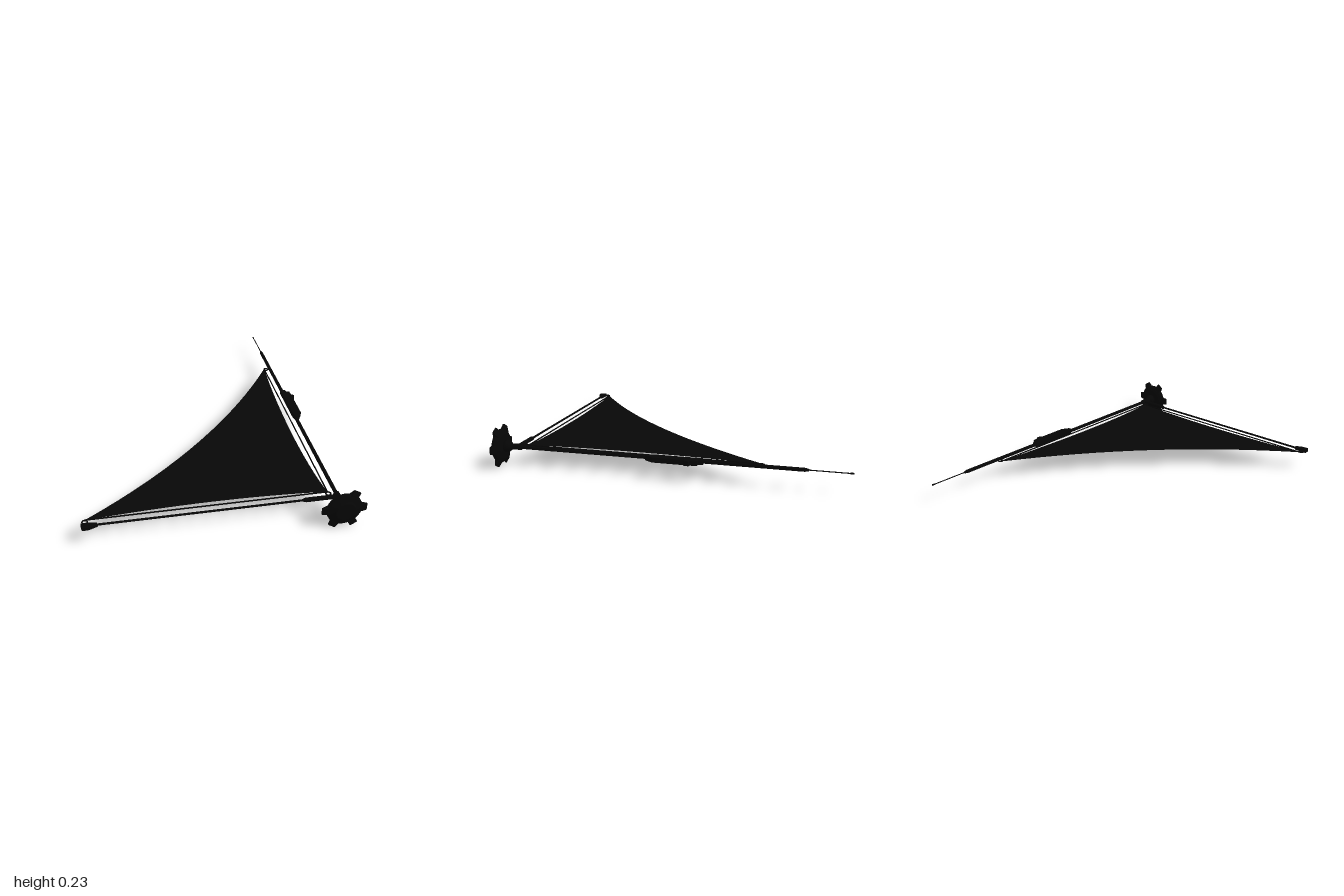
import * as THREE from 'three';

const Y = 0.12;      // height of the rig's plane
const MAST_X = 0.615;
const YARD_Z = 0.866;

export function createModel() {
  const model = new THREE.Group();
  const black = new THREE.MeshStandardMaterial({ color: 0x060606 });
  black.name = 'black';
  const sailBlack = new THREE.MeshStandardMaterial({ color: 0x070707, side: THREE.DoubleSide });
  sailBlack.name = 'sail black';

  const add = (name, geometry, material = black, parent = model) => {
    const mesh = new THREE.Mesh(geometry, material);
    mesh.name = name;
    parent.add(mesh);
    return mesh;
  };
  // Turned part: [radius, distance] pairs, spun about z or x
  const turned = (name, points, axis, sides = 16) => {
    const g = new THREE.LatheGeometry(points.map(p => new THREE.Vector2(p[0], p[1])), sides);
    if (axis === 'z') g.rotateX(Math.PI / 2).translate(MAST_X, Y, 0);
    else g.rotateZ(-Math.PI / 2).translate(0, Y, YARD_Z);
    return add(name, g);
  };
  // Flat outline in x and z, thickened along y about its middle
  const plate = (points, height, bevel) => {
    const shape = new THREE.Shape(points.map(p => new THREE.Vector2(p[0], p[1])));
    const depth = height - 2 * bevel;
    return new THREE.ExtrudeGeometry(shape, {
      depth, bevelEnabled: bevel > 0, bevelSize: bevel, bevelOffset: -bevel,
      bevelThickness: bevel, bevelSegments: 2,
    }).translate(0, 0, -depth / 2).rotateX(Math.PI / 2);
  };

  // Mast with its fine tip
  turned('mast', [[0, -0.775], [0.006, -0.772], [0.0105, -0.75], [0.0105, 0.9], [0, 0.9]], 'z');
  turned('mastTip', [[0, -1], [0.005, -0.998], [0.005, -0.982], [0.003, -0.978], [0.003, -0.77]], 'z', 8);
  turned('mastCollar', [[0.0105, 0.835], [0.017, 0.842], [0.017, 0.9], [0.024, 0.905],
    [0.034, 0.925], [0.034, 0.945], [0, 0.945]], 'z', 20);

  // Hand wheel at the foot of the mast
  turned('wheelHub', [[0, 0.94], [0.06, 0.941], [0.085, 0.952], [0.096, 0.962], [0.096, 0.974],
    [0.085, 0.984], [0.062, 0.988], [0.056, 0.998], [0.05, 1], [0, 1]], 'z', 32);
  const prongs = new THREE.Group();
  prongs.name = 'wheelProngs';
  prongs.position.set(MAST_X, Y, 0);
  model.add(prongs);
  const prongShape = plate([[0.06, 0.945], [0.095, 0.955], [0.122, 0.967], [0.122, 0.975],
    [0.095, 0.981], [0.06, 0.981]], 0.044, 0.003);
  for (let i = 0; i < 6; i++) {
    add('wheelProng', prongShape, black, prongs).rotation.z = i * Math.PI / 3;
  }

  // Motor housing on the side of the mast
  add('motorHousing', plate([[0.602, -0.215], [0.632, -0.215], [0.638, -0.19], [0.655, -0.19],
    [0.657, -0.15], [0.672, -0.145], [0.667, -0.118], [0.657, -0.112], [0.657, 0.06],
    [0.632, 0.105], [0.612, 0.108], [0.602, 0.07]], 0.032, 0.005).translate(0, Y, 0));

  // Yard with socket and end cap
  turned('yard', [[0, -0.7], [0.006, -0.7], [0.006, 0.5], [0, 0.5]], 'x', 12);
  turned('yardSocket', [[0, 0.425], [0.009, 0.427], [0.0125, 0.44], [0.0125, 0.612], [0, 0.612]], 'x');
  add('yardEndCap', plate([[-0.741, 0.852], [-0.7, 0.852], [-0.66, 0.858], [-0.655, 0.872],
    [-0.675, 0.88], [-0.7, 0.891], [-0.735, 0.893], [-0.741, 0.88]], 0.022, 0.004).translate(0, Y, 0));

  // Sail with hollow edges
  const sail = new THREE.Shape();
  sail.moveTo(-0.72, 0.822);
  sail.quadraticCurveTo(-0.02, 0.764, 0.573, 0.82);
  sail.bezierCurveTo(0.53, 0.55, 0.53, 0.0, 0.577, -0.53);
  sail.quadraticCurveTo(0.06, 0.31, -0.72, 0.822);
  add('sail', new THREE.ShapeGeometry(sail, 16).rotateX(Math.PI / 2).translate(0, Y, 0), sailBlack);

  // Cords along the two straight sides
  const cord = (name, a, b) => add(name, new THREE.TubeGeometry(
    new THREE.LineCurve3(new THREE.Vector3(a[0], Y, a[1]), new THREE.Vector3(b[0], Y, b[1])),
    1, 0.004, 8));
  cord('mastCord', [0.576, -0.525], [0.573, 0.822]);
  cord('yardCord', [-0.72, 0.821], [0.573, 0.821]);

  // Corner rings
  for (const [x, z] of [[0.587, -0.521], [0.573, 0.836], [-0.72, 0.837]]) {
    add('cornerRing', new THREE.TorusGeometry(0.0135, 0.004, 8, 20).rotateX(Math.PI / 2)).position.set(x, Y, z);
  }
  return model;
}
